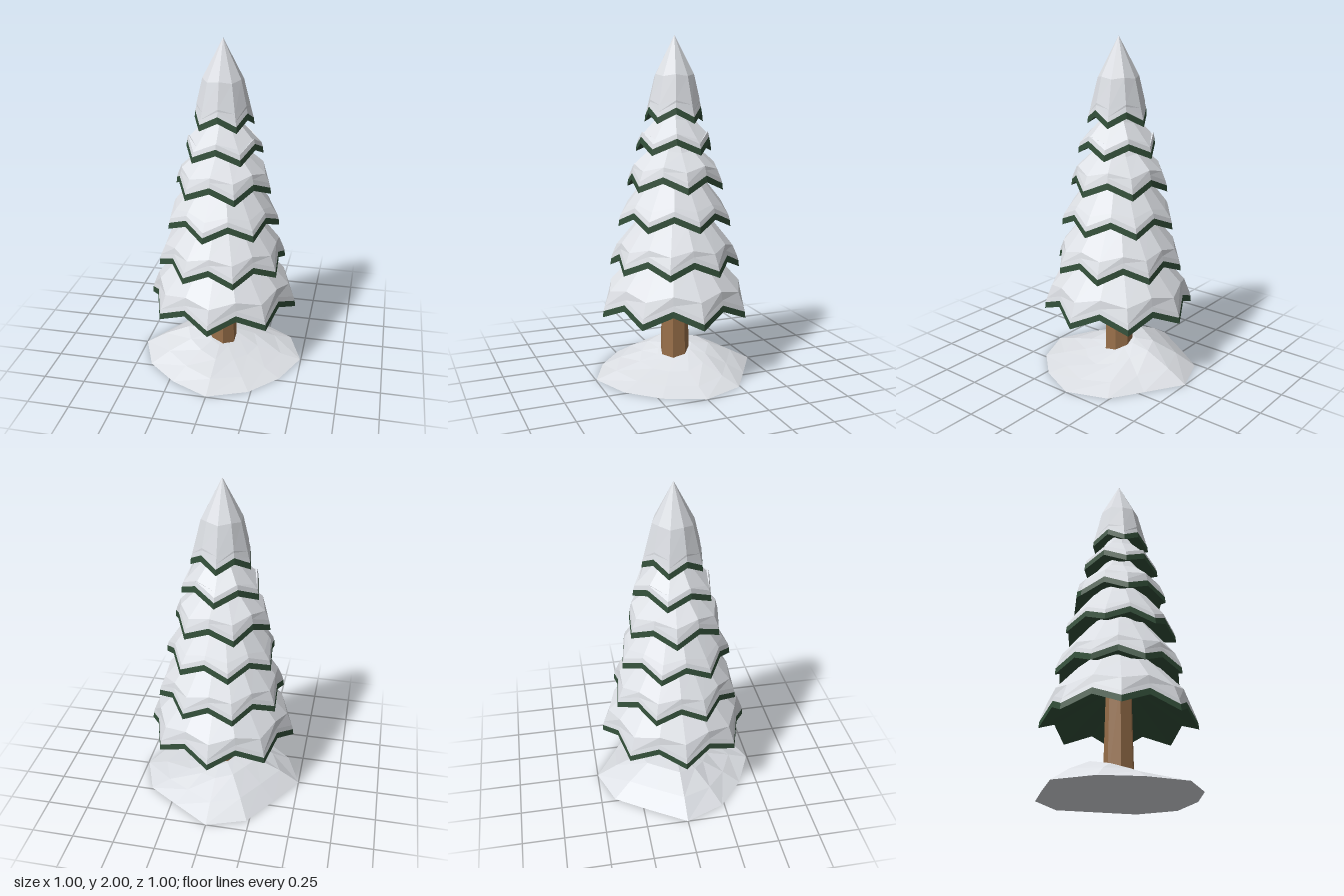
import * as THREE from 'three';

const mat = (name, color, flat = true) => {
  const m = new THREE.MeshStandardMaterial({ color, flatShading: flat });
  m.name = name;
  return m;
};

// Skins a list of equal-length rings of [x, y, z] points with flat faces
function loft(rings) {
  const pos = [];
  const n = rings[0].length;
  for (let k = 0; k < rings.length - 1; k++) {
    const lo = rings[k], hi = rings[k + 1];
    for (let i = 0; i < n; i++) {
      const j = (i + 1) % n;
      pos.push(...lo[i], ...hi[i], ...lo[j], ...lo[j], ...hi[i], ...hi[j]);
    }
  }
  const g = new THREE.BufferGeometry();
  g.setAttribute('position', new THREE.Float32BufferAttribute(pos, 3));
  g.computeVertexNormals();
  return g;
}

// Zigzag ring: even points are low outer tips, odd points are raised notches
function starRing(tips, phase, r, y, star, rise) {
  return Array.from({ length: tips * 2 }, (_, i) => {
    const a = THREE.MathUtils.degToRad(phase) + (i * Math.PI) / tips;
    const notch = i % 2;
    const rad = r * (notch ? 1 - 0.11 * star : 1);
    return [Math.cos(a) * rad, y + (notch ? rise * star : 0), Math.sin(a) * rad];
  });
}

// tips, phase, rim radius, tip height, notch rise, shoulder [r, y], waist [r, y], top [r, y], underside [r, y]
const TIERS = [
  { tips: 8, phase: 0, r: 0.45, y: 0.38, rise: 0.07, profile: [[0.405, 0.53], [0.27, 0.68], [0.18, 0.78]], under: [0.07, 0.62] },
  { tips: 8, phase: 25, r: 0.385, y: 0.65, rise: 0.06, profile: [[0.345, 0.78], [0.23, 0.92], [0.14, 1.03]], under: [0.12, 0.76] },
  { tips: 7, phase: -4, r: 0.335, y: 0.905, rise: 0.06, profile: [[0.29, 1.02], [0.19, 1.15], [0.1, 1.26]], under: [0.1, 1.01] },
  { tips: 6, phase: 6, r: 0.29, y: 1.12, rise: 0.06, profile: [[0.255, 1.24], [0.15, 1.34], [0.08, 1.44]], under: [0.08, 1.22] },
  { tips: 5, phase: -90, r: 0.235, y: 1.33, rise: 0.06, profile: [[0.2, 1.42], [0.11, 1.52], [0.06, 1.6]], under: [0.05, 1.42] },
  { tips: 5, phase: -90, r: 0.18, y: 1.505, rise: 0.055, profile: [[0.158, 1.61], [0.118, 1.77], [0, 2]], under: [0.03, 1.6] },
];

export function createModel() {
  const model = new THREE.Group();
  model.name = 'snowyTree';
  const snow = mat('snow', 0xdcdfe4);
  const needles = mat('needles', 0x33503a);
  const bark = mat('bark', 0x99704a);

  const add = (parent, name, geometry, material) => {
    const mesh = new THREE.Mesh(geometry, material);
    mesh.name = name;
    parent.add(mesh);
    return mesh;
  };

  // Lopsided snow mound, higher towards the back right
  const outline = [[0.495, 0], [0.395, 0.23], [0.235, 0.4], [0, 0.495], [-0.225, 0.39], [-0.405, 0.235],
    [-0.5, 0], [-0.37, -0.21], [-0.235, -0.415], [0, -0.5], [0.22, -0.36], [0.405, -0.24]];
  const moundRing = (s, base, sx, sz) =>
    outline.map(([x, z]) => [x * s, base - sx * x * s - sz * z * s, z * s]);
  add(model, 'snowMound', loft([
    moundRing(0, 0, 0, 0),
    moundRing(1, 0, 0, 0),
    moundRing(0.75, 0.054, 0.07, 0.04),
    moundRing(0.45, 0.107, 0.19, 0.13),
    moundRing(0.22, 0.13, 0.28, 0.2),
    moundRing(0, 0.135, 0, 0),
  ]), snow);

  // Trunk
  const trunk = add(model, 'trunk', new THREE.CylinderGeometry(0.075, 0.09, 0.62, 7), bark);
  trunk.position.y = 0.35;
  trunk.rotation.y = 0.2;

  // Tiers of branches: green underside and rim, snow cap on top
  TIERS.forEach(({ tips, phase, r, y, rise, profile, under }, i) => {
    const tier = new THREE.Group();
    tier.name = `branchTier${i + 1}`;
    model.add(tier);
    const ring = (rad, h, star) => starRing(tips, phase, rad, h, star, rise);
    const rimTop = ring(r - 0.004, y + 0.037, 1);
    add(tier, 'branches', loft([ring(under[0], under[1], 0), ring(r, y, 1), rimTop]), needles);
    const [shoulder, waist, top] = profile;
    add(tier, 'snowCap', loft([
      rimTop,
      ring(r - 0.012, y + 0.065, 1),
      ring(shoulder[0], shoulder[1], 0.5),
      ring(waist[0], waist[1], 0.2),
      ring(top[0], top[1], 0),
    ]), snow);
  });

  return model;
}
